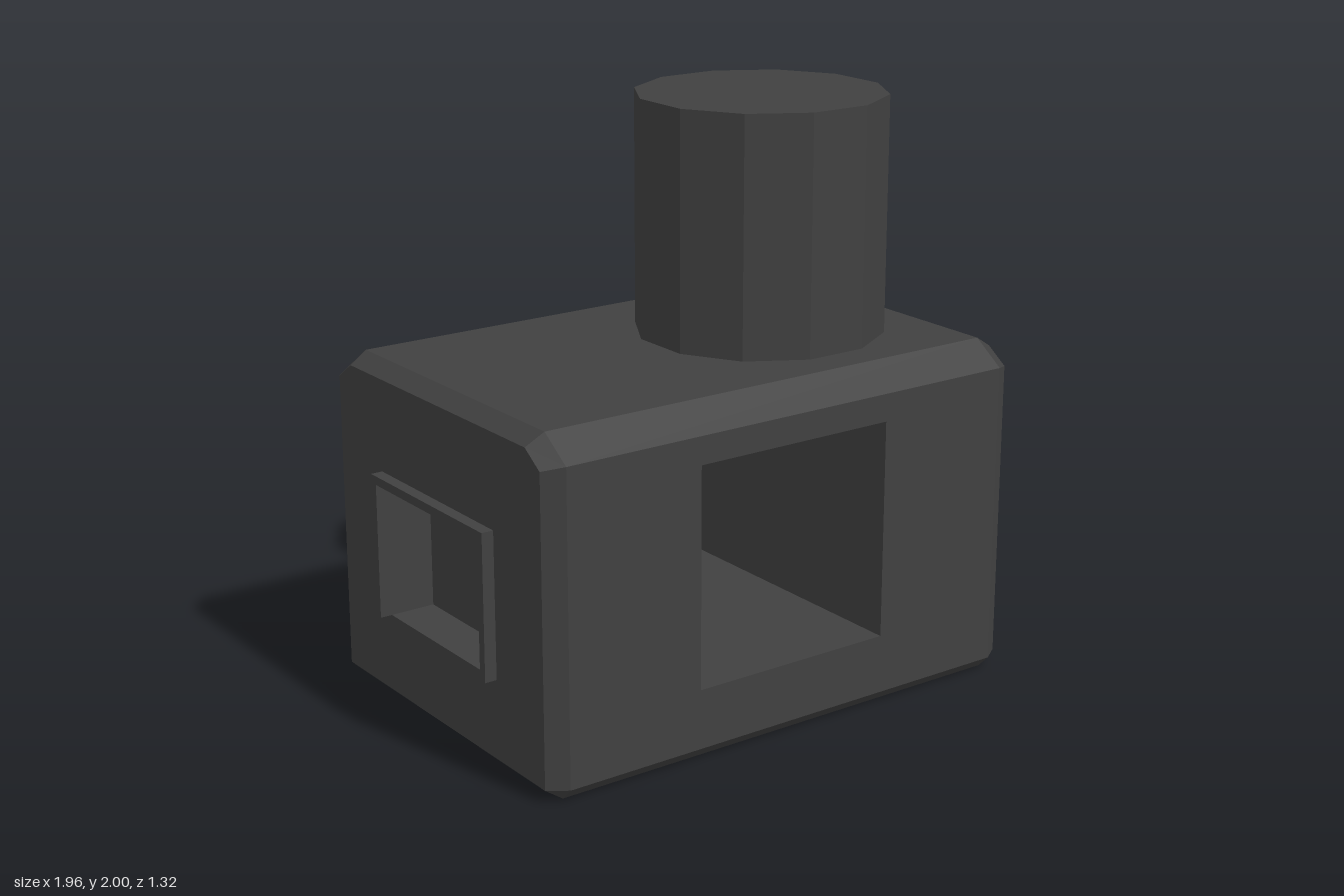
import * as THREE from 'three';

const material = new THREE.MeshStandardMaterial({ color: 0x404040, flatShading: true });

// Collects triangles, turning each one away from (or, if inward, towards) a centre point.
function shell(centre, inward = false) {
  const c = new THREE.Vector3(...centre), coords = [];
  const tri = (...pts) => {
    const [a, b, d] = pts.map(p => new THREE.Vector3(...p));
    const n = b.clone().sub(a).cross(d.clone().sub(a));
    if (n.length() < 1e-7) return;
    const out = n.dot(a.clone().add(b).add(d).divideScalar(3).sub(c)) > 0;
    for (const v of out !== inward ? [a, b, d] : [a, d, b]) coords.push(v.x, v.y, v.z);
  };
  const quad = (a, b, d, e) => { tri(a, b, d); tri(a, d, e); };
  // Flat panel with one opening; place maps 2D points to 3D.
  const panel = (outline, hole, place) => {
    const toV = p => new THREE.Vector2(...p);
    const all = [...outline, ...hole];
    for (const f of THREE.ShapeUtils.triangulateShape(outline.map(toV), [hole.map(toV)]))
      tri(...f.map(i => place(all[i])));
  };
  const mesh = name => {
    const g = new THREE.BufferGeometry();
    g.setAttribute('position', new THREE.Float32BufferAttribute(coords, 3));
    g.computeVertexNormals();
    const m = new THREE.Mesh(g, material);
    m.name = name;
    return m;
  };
  return { quad, panel, mesh };
}

const rect = (u0, u1, v0, v1) => [[u0, v0], [u1, v0], [u1, v1], [u0, v1]];

export function createModel() {
  const model = new THREE.Group();
  const X = 0.875, XE = 0.94, Z = 0.66;

  // Cross-sections as [z, y]: full width, and the inset end face
  const full = [[-0.615, 0], [0.615, 0], [Z, 0.045], [Z, 1.1],
    [0.545, 1.18], [-0.545, 1.18], [-Z, 1.1], [-Z, 0.045]];
  const end = [[-0.615, 0.045], [0.615, 0.045], [0.615, 0.045], [0.615, 1.085],
    [0.535, 1.14], [-0.535, 1.14], [-0.615, 1.085], [-0.615, 0.045]];
  const endOutline = [1, 3, 4, 5, 6, 0].map(i => end[i]);
  const tunnel = rect(-0.375, 0.375, 0.25, 1.005);
  const recess = rect(-0.315, 0.315, 0.32, 0.79);
  const at = (x, [z, y]) => [x, y, z];

  // Chamfered head with openings on four sides
  const head = shell([0, 0.6, 0]);
  full.forEach((p, i) => {
    const j = (i + 1) % 8;
    if (i !== 2 && i !== 6) head.quad(at(-X, p), at(X, p), at(X, full[j]), at(-X, full[j]));
    for (const s of [-1, 1])
      head.quad(at(s * X, p), at(s * X, full[j]), at(s * XE, end[j]), at(s * XE, end[i]));
  });
  for (const s of [-1, 1]) {
    head.panel(rect(-X, X, 0.045, 1.1), tunnel, ([x, y]) => [x, y, s * Z]);
    head.panel(endOutline, recess, p => at(s * XE, p));
  }
  model.add(head.mesh('head'));

  // Walls of the opening running front to back
  const walls = shell([0, 0.6, 0], true);
  tunnel.forEach((p, i) => {
    const q = tunnel[(i + 1) % 4];
    walls.quad([...p, -Z], [...p, Z], [...q, Z], [...q, -Z]);
  });
  model.add(walls.mesh('tunnelWalls'));

  // Recess and three-sided frame on each end
  const frameShape = new THREE.Shape([[-0.345, 0.32], [-0.315, 0.32], [-0.315, 0.79], [0.315, 0.79],
    [0.315, 0.32], [0.345, 0.32], [0.345, 0.82], [-0.345, 0.82]].map(p => new THREE.Vector2(...p)));
  const frameGeometry = new THREE.ExtrudeGeometry(frameShape, { depth: 0.05, bevelEnabled: false });
  for (const s of [-1, 1]) {
    const side = s > 0 ? 'left' : 'right', XB = 0.78;
    const pocket = shell([s * 0.87, 0.55, 0], true);
    recess.forEach((p, i) => {
      const q = recess[(i + 1) % 4];
      pocket.quad(at(s * XB, p), at(s * XE, p), at(s * XE, q), at(s * XB, q));
    });
    pocket.quad(...recess.map(p => at(s * XB, p)));
    model.add(pocket.mesh(side + 'Recess'));

    const frame = new THREE.Mesh(frameGeometry, material);
    frame.name = side + 'Frame';
    frame.rotation.y = s * Math.PI / 2;
    frame.position.x = s * 0.932;
    model.add(frame);
  }

  // Twelve-sided post with flats facing the axes
  const post = new THREE.Mesh(
    new THREE.CylinderGeometry(0.432, 0.432, 0.84, 12).rotateY(Math.PI / 12), material);
  post.name = 'post';
  post.position.set(0.36, 1.58, 0);
  model.add(post);

  return model;
}
